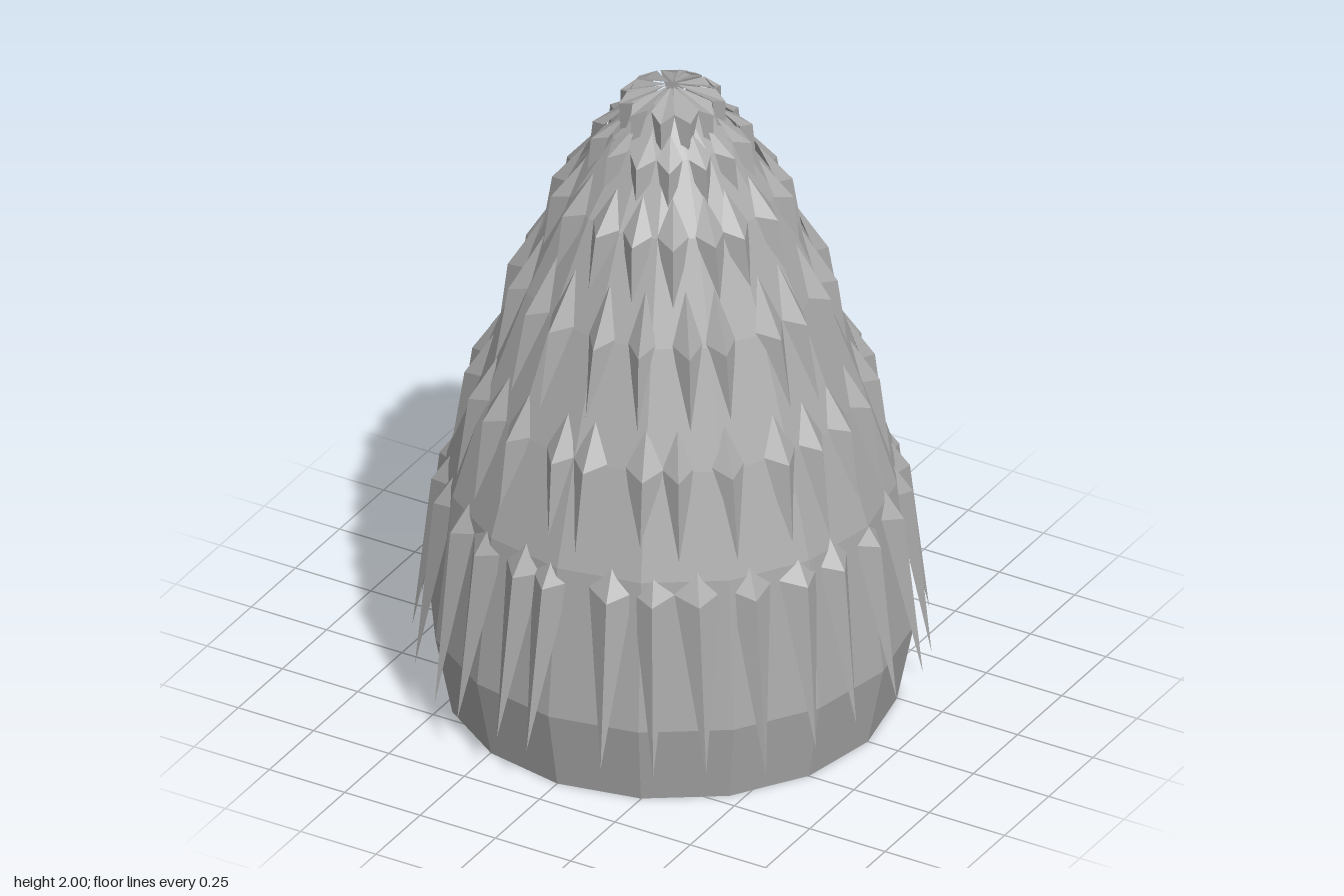
import * as THREE from 'three';

const grey = new THREE.MeshStandardMaterial({ color: 0xaaaaaa, flatShading: true });
grey.name = 'stone grey';

// Small seeded generator, returns -1..1
let seed = 11;
function jitter() {
  seed = (seed * 16807) % 2147483647;
  return (seed / 2147483647) * 2 - 1;
}

// One hanging scale: top root, two side corners, an outer ridge point and a long lower tip
function addScale(out, angle, row, drop, half) {
  const point = (radius, y, side = 0) => {
    const s = Math.sin(angle), c = Math.cos(angle);
    return [radius * s + side * c, y, radius * c - side * s];
  };
  const [topR, topY] = row.top, [outR, outY] = row.ridge, [tipR, tipY] = row.tip;
  const top = point(topR, topY);
  const ridge = point(outR, outY);
  const tip = point(tipR, tipY + drop, half * 0.3 * jitter());
  const left = point(row.sideR, outY + 0.02, -half);
  const right = point(row.sideR, outY + 0.02, half);
  for (const face of [
    [top, left, ridge], [top, ridge, right],
    [left, tip, ridge], [ridge, tip, right],
    [left, right, tip], [top, right, left],
  ]) for (const p of face) out.push(...p);
}

export function createModel() {
  const group = new THREE.Group();
  group.name = 'scaledCone';

  // Sixteen-sided tapering core with a closed base
  const profile = [
    [0, 0], [0.65, 0], [0.7, 0.25], [0.65, 0.72], [0.555, 1.03],
    [0.43, 1.37], [0.3, 1.66], [0.175, 1.85], [0.06, 1.95], [0, 1.96],
  ].map(([x, y]) => new THREE.Vector2(x, y));
  const core = new THREE.Mesh(new THREE.LatheGeometry(profile, 16), grey);
  core.name = 'core';
  group.add(core);

  // Tiers of scales, longest at the bottom
  const rows = [
    { count: 28, top: [0.58, 0.82], ridge: [0.69, 0.66], tip: [0.745, 0.15], sideR: 0.64, half: 0.065, vary: 0.05 },
    { count: 26, top: [0.51, 1.15], ridge: [0.595, 1.02], tip: [0.63, 0.74], sideR: 0.545, half: 0.05, vary: 0.05 },
    { count: 21, top: [0.37, 1.53], ridge: [0.475, 1.36], tip: [0.515, 1.08], sideR: 0.42, half: 0.045, vary: 0.05 },
    { count: 18, top: [0.25, 1.77], ridge: [0.35, 1.65], tip: [0.39, 1.37], sideR: 0.3, half: 0.045, vary: 0.05 },
    { count: 14, top: [0.13, 1.91], ridge: [0.235, 1.84], tip: [0.26, 1.6], sideR: 0.19, half: 0.038, vary: 0.04 },
    { count: 11, top: [0.015, 2.0], ridge: [0.155, 1.955], tip: [0.15, 1.78], sideR: 0.12, half: 0.035, vary: 0.03 },
  ];
  rows.forEach((row, r) => {
    const positions = [];
    const step = (Math.PI * 2) / row.count;
    for (let i = 0; i < row.count; i++) {
      const angle = (i + 0.5 * (r % 2) + 0.18 * jitter()) * step;
      addScale(positions, angle, row, row.vary * jitter(), row.half * (1 + 0.12 * jitter()));
    }
    const geometry = new THREE.BufferGeometry();
    geometry.setAttribute('position', new THREE.Float32BufferAttribute(positions, 3));
    geometry.computeVertexNormals();
    const mesh = new THREE.Mesh(geometry, grey);
    mesh.name = `scaleTier${r + 1}`;
    group.add(mesh);
  });
  return group;
}
